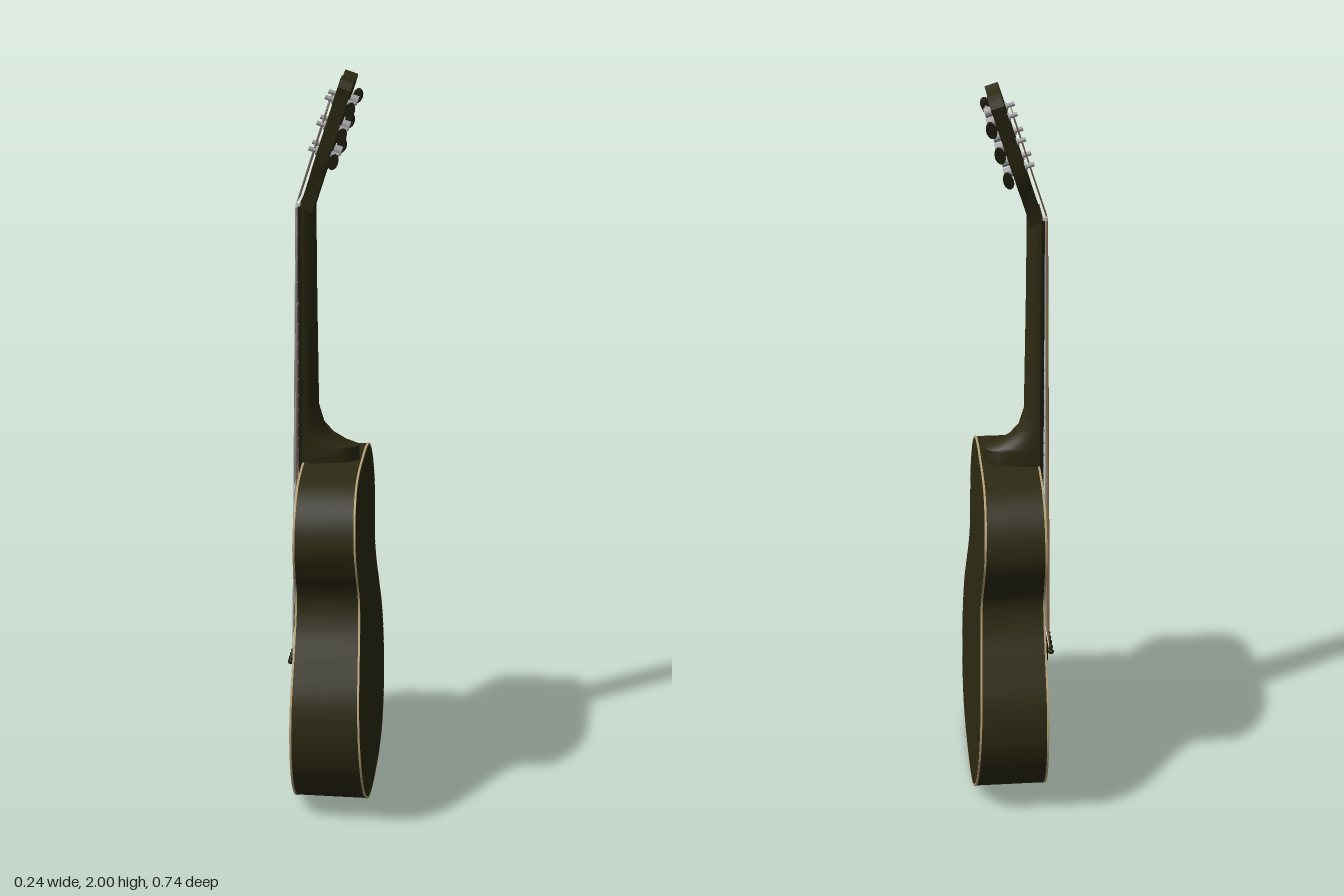
import * as THREE from 'three';
import { toCreasedNormals } from 'three/addons/utils/BufferGeometryUtils.js';

const mat = (name, color) => new THREE.MeshStandardMaterial({ name, color });
const V2 = (x, y) => new THREE.Vector2(x, y);
const V3 = (x, y, z) => new THREE.Vector3(x, y, z);

export function createModel() {
  const M = {
    wood: mat('dark olive wood', 0x2d2a13),
    ebony: mat('dark ebony', 0x1f1e10),
    red: mat('dark red lacquer', 0x3c0c12),
    brown: mat('brown spruce', 0x573320),
    cream: mat('cream binding', 0xb9a478),
    steel: mat('steel', 0xa5a5a8),
    bronze: mat('bronze strings', 0x86694a),
    bone: mat('white bone', 0xdcdcd8),
  };
  const model = new THREE.Group();
  model.name = 'guitar';

  const add = (name, geo, material, parent = model) => {
    const mesh = new THREE.Mesh(geo, material);
    mesh.name = name;
    parent.add(mesh);
    return mesh;
  };
  const box = (name, sx, sy, sz, x, y, z, material, parent) =>
    add(name, new THREE.BoxGeometry(sx, sy, sz), material, parent).position.set(x, y, z);

  // Plate with its outline in (z, y), filling x from front(y) to back(y)
  const slab = (name, pts, front, back, material, { hole, parent } = {}) => {
    const flip = p => V2(-p.x, p.y);
    const shape = new THREE.Shape(pts.map(flip));
    if (hole) shape.holes.push(new THREE.Path(hole.map(flip)));
    const geo = new THREE.ExtrudeGeometry(shape, { depth: 1, bevelEnabled: false });
    geo.rotateY(Math.PI / 2);
    const p = geo.attributes.position;
    for (let i = 0; i < p.count; i++) {
      const y = p.getY(i), f = front(y), b = back(y);
      p.setX(i, f + (b - f) * p.getX(i));
    }
    return add(name, toCreasedNormals(geo, 0.6), material, parent);
  };
  const at = x => () => x;
  const mirror = half => [...half, ...half.slice().reverse().filter(p => p[0] > 0).map(p => [-p[0], p[1]])]
    .map(p => V2(p[0], p[1]));
  const circle = (r, cy) => Array.from({ length: 48 }, (_, i) =>
    V2(r * Math.cos(i * Math.PI / 24), cy + r * Math.sin(i * Math.PI / 24)));

  // Cylinder between two points
  const rod = (name, a, b, r, material, parent, sides = 6) => {
    const mesh = add(name, new THREE.CylinderGeometry(r, r, a.distanceTo(b), sides), material, parent);
    mesh.position.copy(a).add(b).multiplyScalar(0.5);
    mesh.quaternion.setFromUnitVectors(V3(0, 1, 0), b.clone().sub(a).normalize());
  };

  // Body outline: lower bout, waist, upper bout
  const half = [[0, 0.005], [0.13, 0.012], [0.235, 0.043], [0.325, 0.125], [0.368, 0.25], [0.355, 0.365],
    [0.298, 0.47], [0.245, 0.56], [0.228, 0.63], [0.262, 0.715], [0.28, 0.79], [0.25, 0.875],
    [0.185, 0.93], [0.1, 0.948], [0, 0.95]];
  const curve = new THREE.CatmullRomCurve3(mirror(half).map(p => V3(p.x, p.y, 0)), true);
  const base = curve.getPoints(112).slice(0, -1);
  const outline = s => base.map(p => V2(p.x * s, 0.475 + (p.y - 0.475) * s));
  const backX = y => 0.12 - 0.042 * y;
  const holeY = 0.67;

  slab('sides', outline(1), at(-0.078), y => backX(y) - 0.003, M.wood, { hole: outline(0.97) });
  slab('backPlate', outline(0.996), y => backX(y) - 0.008, backX, M.wood);
  slab('soundboard', outline(0.996), at(-0.08), at(-0.073), M.red, { hole: circle(0.1, holeY) });
  slab('soundboardLower', outline(0.98).filter(p => p.y > 0.03 && p.y < 0.54),
    at(-0.081), at(-0.0795), M.brown);
  slab('frontBinding', outline(1.003), at(-0.0805), at(-0.075), M.cream, { hole: outline(0.99) });
  slab('backBinding', outline(1.003), y => backX(y) - 0.005, y => backX(y) + 0.0003, M.cream,
    { hole: outline(0.992) });
  slab('rosette', circle(0.111, holeY), at(-0.0815), at(-0.0795), M.cream, { hole: circle(0.104, holeY) });
  slab('soundHoleRim', circle(0.104, holeY), at(-0.0812), at(-0.073), M.ebony, { hole: circle(0.099, holeY) });

  // Pickguard hugging the sound hole on the treble side
  const arc = Array.from({ length: 13 }, (_, i) => {
    const a = -1.2 + i * 0.155;
    return V2(0.112 * Math.cos(a), holeY + 0.112 * Math.sin(a));
  });
  const edge = new THREE.SplineCurve([V2(0.09, 0.74), V2(0.15, 0.77), V2(0.2, 0.745), V2(0.205, 0.64),
    V2(0.235, 0.54), V2(0.22, 0.475), V2(0.14, 0.485), V2(0.06, 0.555)]).getPoints(28);
  slab('pickguard', [...arc, ...edge], at(-0.083), at(-0.0795), M.ebony);

  // Neck with heel: rows of [y, depth, half width]
  const rows = [[0.945, 0.154, 0.054], [0.99, 0.152, 0.054], [1.0, 0.122, 0.054], [1.02, 0.085, 0.054],
    [1.05, 0.057, 0.053], [1.1, 0.042, 0.052], [1.4, 0.038, 0.047], [1.67, 0.036, 0.042]];
  const neck = new THREE.CylinderGeometry(1, 1, 1, 32, rows.length - 1);
  const np = neck.attributes.position;
  for (let i = 0; i < np.count; i++) {
    const [y, d, w] = rows[Math.round((np.getY(i) + 0.5) * (rows.length - 1))];
    np.setXYZ(i, -0.083 + d * Math.max(0, np.getX(i)), y, w * np.getZ(i));
  }
  add('neck', toCreasedNormals(neck, 0.7), M.wood);

  // Fingerboard, nut and frets
  const nutY = 1.655, bridgeY = 0.385;
  slab('fingerboard', mirror([[0.059, 0.785], [0.042, nutY]]), at(-0.09), at(-0.08), M.ebony);
  box('nut', 0.016, 0.012, 0.084, -0.088, nutY + 0.004, 0, M.bone);
  for (let n = 1; n < 20; n++) {
    const y = nutY - (nutY - bridgeY) * (1 - 2 ** (-n / 12));
    box('fret', 0.003, 0.004, 2 * (0.041 + 0.017 * (nutY - y) / 0.87), -0.0905, y, 0, M.steel);
  }

  // Bridge with thin wings, saddle and pins
  const bridge = new THREE.Shape([[-0.079, -0.155], [-0.091, -0.155], [-0.093, -0.115], [-0.104, -0.08],
    [-0.104, 0.08], [-0.093, 0.115], [-0.091, 0.145], [-0.079, 0.145]].map(p => V2(...p)));
  const bridgeGeo = new THREE.ExtrudeGeometry(bridge, { depth: 0.052, bevelEnabled: false });
  bridgeGeo.rotateX(Math.PI / 2).translate(0, 0.402, 0);
  add('bridge', bridgeGeo, M.ebony);
  box('saddle', 0.01, 0.006, 0.145, -0.103, bridgeY + 0.006, 0, M.bone);

  // Headstock, leaning back from the nut
  const head = new THREE.Group();
  head.name = 'headstock';
  head.position.set(-0.085, nutY, 0);
  head.rotation.z = -0.308;
  model.add(head);
  slab('headPlate', mirror([[0.042, -0.005], [0.043, 0.08], [0.06, 0.115], [0.063, 0.17], [0.066, 0.29],
    [0.073, 0.335], [0.062, 0.355], [0.045, 0.362], [0.022, 0.352], [0, 0.349]]),
    at(0), at(0.035), M.wood, { parent: head });

  // Tuners: post and collar in front, housing behind, button at the side
  const tunerY = [0.155, 0.225, 0.295];
  for (const s of [-1, 1]) for (const y of tunerY) {
    const z = s * 0.042;
    rod('tunerPost', V3(-0.024, y, z), V3(0.036, y, z), 0.006, M.steel, head, 12);
    rod('tunerCollar', V3(-0.004, y, z), V3(0.001, y, z), 0.011, M.steel, head, 16);
    rod('tunerHousing', V3(0.034, y, z), V3(0.056, y, z), 0.013, M.steel, head, 16);
    rod('tunerShaft', V3(0.049, y, z), V3(0.049, y, s * 0.085), 0.005, M.steel, head, 10);
    const button = add('tunerButton', new THREE.CylinderGeometry(0.021, 0.017, 0.026, 12), M.ebony, head);
    button.rotation.x = s * Math.PI / 2;
    button.scale.set(0.65, 1, 1);
    button.position.set(0.049, y, s * 0.095);
  }

  // Strings from bridge to nut and on to the tuner posts
  for (let i = 0; i < 6; i++) {
    const k = i - 2.5, s = Math.sign(k);
    const material = i < 3 ? M.bronze : M.steel;
    const r = 0.0021 - 0.00018 * i;
    const zb = k * 0.025, zn = k * 0.0135;
    rod('string', V3(-0.109, bridgeY + 0.006, zb), V3(-0.097, nutY + 0.004, zn), r, material);
    rod('stringTail', V3(-0.104, 0.365, zb), V3(-0.109, bridgeY + 0.006, zb), r, material);
    const y = tunerY[Math.round(2.5 - Math.abs(k))];
    rod('stringHead', V3(-0.012, 0.001, zn), V3(-0.012, y, s * 0.037), r, material, head);
    rod('bridgePin', V3(-0.1, 0.365, zb), V3(-0.114, 0.365, zb), 0.004, M.ebony, model, 8);
    add('bridgePinHead', new THREE.SphereGeometry(0.008, 12, 8), M.ebony).position.set(-0.115, 0.365, zb);
  }

  return model;
}
